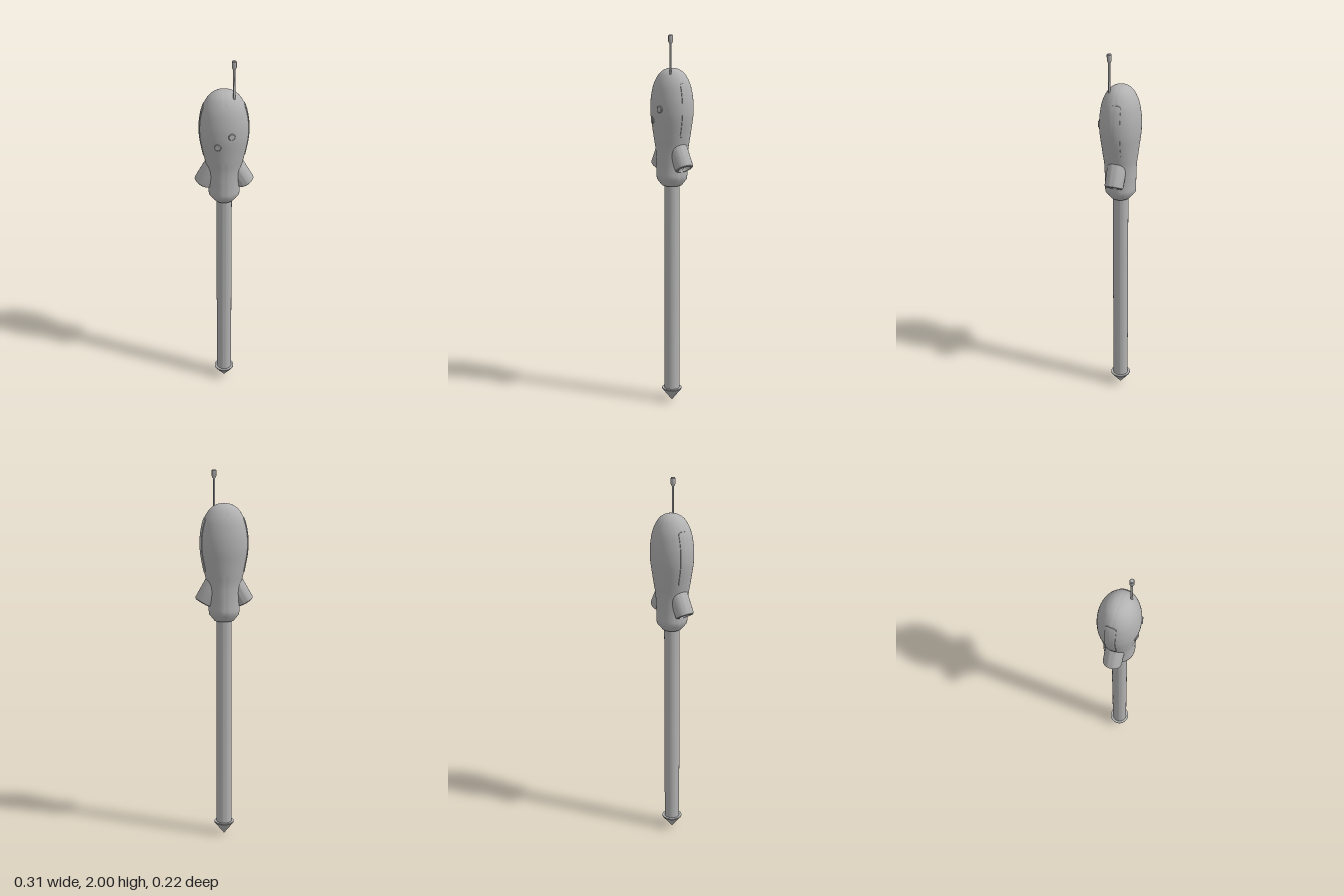
import * as THREE from 'three';
import { toCreasedNormals } from 'three/addons/utils/BufferGeometryUtils.js';

const V = (x, y) => new THREE.Vector2(x, y);

export function createModel() {
  const group = new THREE.Group();
  const grey = new THREE.MeshStandardMaterial({ color: 0xb2b2b2 });

  const add = (name, geometry, x = 0, y = 0, z = 0) => {
    const mesh = new THREE.Mesh(toCreasedNormals(geometry, 0.6), grey);
    mesh.name = name;
    mesh.position.set(x, y, z);
    group.add(mesh);
    return mesh;
  };

  // Housing outline: collar, waist and rounded dome
  const upper = new THREE.SplineCurve([
    V(0.082, 1.265), V(0.083, 1.32), V(0.09, 1.4), V(0.105, 1.47), V(0.122, 1.56),
    V(0.126, 1.62), V(0.122, 1.68), V(0.107, 1.745), V(0.077, 1.797), V(0.04, 1.823), V(0, 1.83),
  ]).getPoints(50);
  const profile = [V(0, 1.21), V(0.052, 1.21), V(0.08, 1.245), ...upper];
  profile[profile.length - 1].x = 0;
  // The housing is round at the collar and flatter from front to back above
  const depthRatio = (y) => 1 - 0.15 * THREE.MathUtils.smoothstep(y, 1.27, 1.56);
  const radiusAt = (y) => {
    const i = Math.max(1, upper.findIndex((p) => p.y >= y));
    const a = upper[i - 1], b = upper[i];
    return THREE.MathUtils.lerp(a.x, b.x, (y - a.y) / (b.y - a.y));
  };

  const housing = new THREE.LatheGeometry(profile, 64);
  const hp = housing.attributes.position;
  for (let i = 0; i < hp.count; i++) hp.setZ(i, hp.getZ(i) * depthRatio(hp.getY(i)));
  add('housing', housing);

  // Side panels hug the housing and have rounded ends
  const sidePanel = (side) => {
    const h = 0.285, halfWidth = 0.028, r = 0.014, midY = 1.613;
    const g = new THREE.BoxGeometry(1, h, 2, 1, 40, 8);
    const p = g.attributes.position;
    for (let i = 0; i < p.count; i++) {
      const t = Math.max(0, Math.abs(p.getY(i)) - (h / 2 - r)) / r;
      const z = p.getZ(i) * (halfWidth - r + r * Math.sqrt(Math.max(0, 1 - t * t))) - 0.006;
      const y = p.getY(i) + midY;
      const across = z / depthRatio(y);
      const surface = Math.sqrt(radiusAt(y) ** 2 - across ** 2);
      const outer = p.getX(i) * side > 0;
      p.setXYZ(i, side * (surface + (outer ? 0.003 : -0.006)), y, z);
    }
    return g;
  };

  // Hollow nozzles pointing down and outward
  const nozzle = [
    V(0, 0.03), V(0.033, 0.03), V(0.034, 0), V(0.042, 0),
    V(0.047, 0.004), V(0.049, 0.012), V(0.05, 0.14), V(0, 0.14),
  ];
  for (const [label, side] of [['left', 1], ['right', -1]]) {
    add(label + 'SidePanel', sidePanel(side));
    const n = add(label + 'Nozzle', new THREE.LatheGeometry(nozzle, 40), side * 0.114, 1.307, 0);
    n.rotation.z = side * Math.PI / 6;
  }

  // Two front buttons with rounded rims, set square to the surface
  const button = [V(0, -0.012), V(0.018, -0.012), V(0.018, 0.002), V(0.015, 0.005), V(0, 0.005)];
  for (const [name, x, y] of [['upperButton', 0.035, 1.62], ['lowerButton', -0.035, 1.56]]) {
    const k = depthRatio(y);
    const z = k * Math.sqrt(radiusAt(y) ** 2 - x * x);
    const b = add(name, new THREE.LatheGeometry(button, 28), x, y, z);
    const normal = new THREE.Vector3(x, 0, z / (k * k)).normalize();
    b.quaternion.setFromUnitVectors(new THREE.Vector3(0, 1, 0), normal);
  }

  // Antenna
  add('antennaRod', new THREE.CylinderGeometry(0.006, 0.006, 0.2, 16), 0.048, 1.87, 0.043);
  add('antennaTip', new THREE.LatheGeometry([
    V(0, 1.957), V(0.008, 1.957), V(0.012, 1.967), V(0.012, 1.996), V(0.009, 2), V(0, 2),
  ], 20), 0.048, 0, 0.043);

  // Pole and ground spike
  add('pole', new THREE.CylinderGeometry(0.041, 0.041, 1.15, 40), 0, 0.645, 0);
  add('spike', new THREE.LatheGeometry([V(0, 0), V(0.054, 0.068), V(0.054, 0.074), V(0, 0.074)], 40));

  return group;
}
